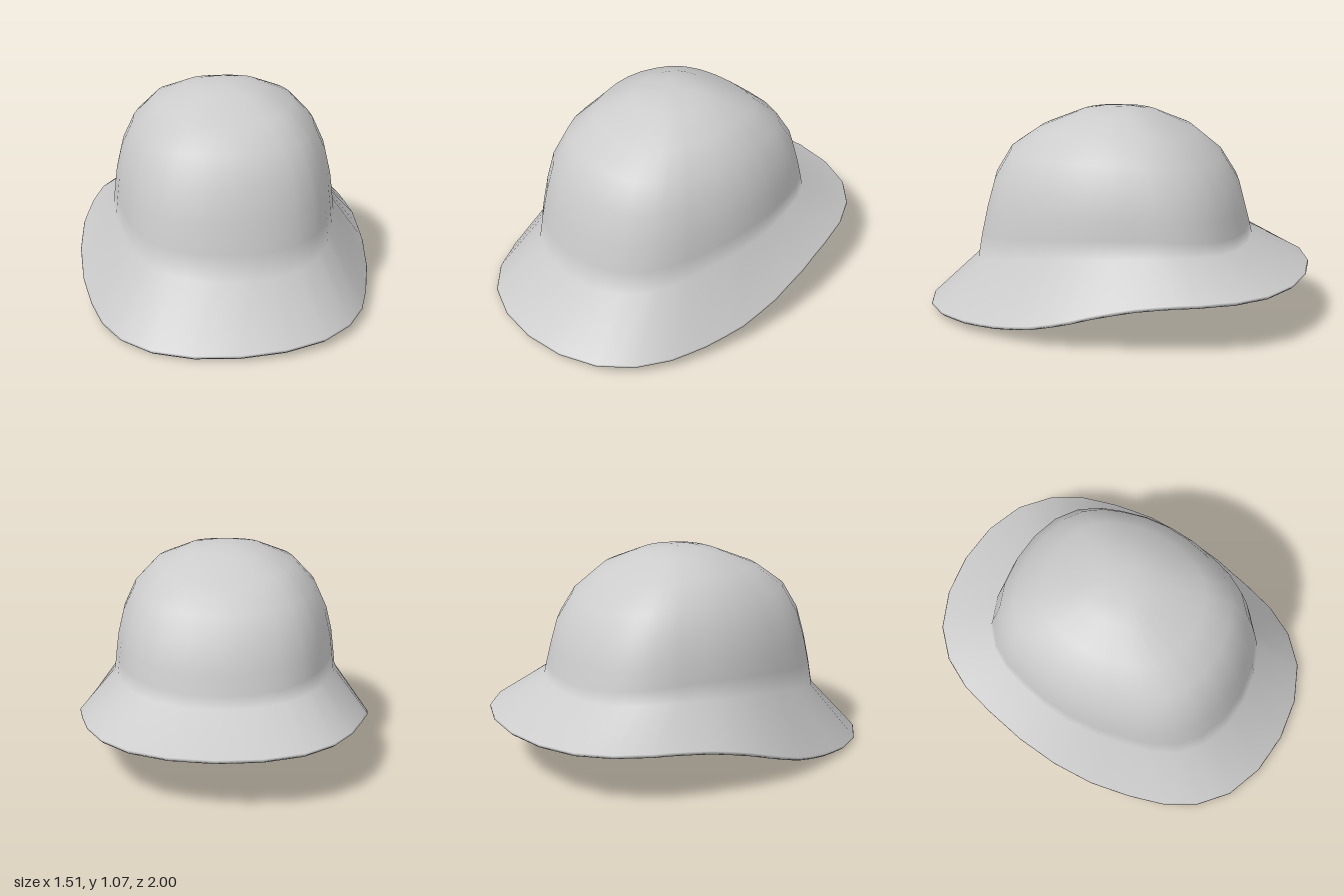
import * as THREE from 'three';

const SEGMENTS = 56;

// Quarter of the rounded oval plan shared by every ring, from front to side
const OVAL = [[0, 1], [0.289, 0.975], [0.546, 0.897], [0.73, 0.77], [0.849, 0.61], [0.92, 0.43], [0.98, 0.215], [1, 0]];

// Corner i of the 28-sided oval, running front, left, back, right
function ovalCorner(i) {
  const half = i % 14;
  const [x, z] = OVAL[half <= 7 ? half : 14 - half];
  const turn = i % 28 < 14 ? 1 : -1;
  return [x * turn, z * turn * (half <= 7 ? 1 : -1)];
}

// Unit oval as corners and edge midpoints
const PLAN = Array.from({ length: SEGMENTS }, (_, i) => {
  const a = ovalCorner(Math.floor(i / 2));
  const b = ovalCorner(Math.ceil(i / 2));
  return [(a[0] + b[0]) / 2, (a[1] + b[1]) / 2];
});

// Crown rings from base to top: side x, side y, front z, front y, back z, back y
const CROWN = [
  [0.575, 0.415, 0.74, 0.275, 0.70, 0.41],
  [0.565, 0.51, 0.715, 0.41, 0.685, 0.47],
  [0.553, 0.61, 0.68, 0.56, 0.66, 0.56],
  [0.525, 0.73, 0.635, 0.72, 0.625, 0.69],
  [0.465, 0.862, 0.55, 0.86, 0.54, 0.825],
  [0.355, 0.98, 0.41, 0.957, 0.40, 0.942],
  [0.195, 1.047, 0.21, 1.04, 0.21, 1.036],
  [0.098, 1.06, 0.105, 1.063, 0.105, 1.063],
];

// The lower rings dip towards the front and rise towards the back
function crownRing([sx, sy, fz, fy, bz, by]) {
  const skew = 0.06 * (1.07 - sy) / 0.65;
  return PLAN.map(([u, w]) => [
    u * sx,
    sy + ((w > 0 ? fy : by) - sy) * w * w - skew * w * (1 - w * w),
    w * (w > 0 ? fz : bz),
  ]);
}

// Inner bowl: an elliptical dome rising from the opening under the brim
const BOWL_TOP = 0.82;
function bowlRing(angle) {
  const r = Math.cos(angle);
  return PLAN.map(([u, w]) => {
    const base = 0.3 + ((w > 0 ? 0.19 : 0.29) - 0.3) * w * w;
    return [
      u * 0.565 * r,
      base + (BOWL_TOP - base) * Math.sin(angle),
      w * (w > 0 ? 0.72 : 0.70) * r,
    ];
  });
}

// Brim edge: low in front, sweeping up to the back, with a slight sideways roll
function rimRing(shrink, drop) {
  return PLAN.map(([u, w]) => {
    const x = u * (0.757 - shrink);
    const z = w * (1 - shrink);
    const sweep = 0.152 - 0.125 * Math.tanh(z / 0.38) + 0.012 * (1 - z * z);
    return [x, sweep + 0.035 * x * Math.max(z, 0) - drop, z];
  });
}

const poleRing = (y) => PLAN.map(() => [0, y, 0]);

// Skin consecutive rings; a pole ring collapses to one shared vertex
function loft(rings) {
  const positions = [];
  const index = [];
  const ids = rings.map((ring, r) => {
    const pole = r === 0 || r === rings.length - 1;
    const start = positions.length / 3;
    (pole ? [ring[0]] : ring).forEach((p) => positions.push(...p));
    return (i) => (pole ? start : start + (i % SEGMENTS));
  });
  for (let r = 0; r < rings.length - 1; r++) {
    for (let i = 0; i < SEGMENTS; i++) {
      const a = ids[r](i), b = ids[r](i + 1), c = ids[r + 1](i + 1), d = ids[r + 1](i);
      if (a !== b) index.push(a, b, c);
      if (c !== d) index.push(a, c, d);
    }
  }
  const geometry = new THREE.BufferGeometry();
  geometry.setAttribute('position', new THREE.Float32BufferAttribute(positions, 3));
  geometry.setIndex(index);
  geometry.computeVertexNormals();
  return geometry;
}

export function createModel() {
  const group = new THREE.Group();
  group.name = 'hat';

  const bowl = [80, 70, 60, 50, 40, 30, 20, 10, 0].map((deg) => bowlRing(THREE.MathUtils.degToRad(deg)));

  // One continuous shell: inner bowl, underside of brim, rim, top of brim, crown
  const shell = new THREE.Mesh(
    loft([
      poleRing(BOWL_TOP),
      ...bowl,
      rimRing(0.012, 0.02),
      rimRing(0, 0.009),
      rimRing(0.004, 0),
      ...CROWN.map(crownRing),
      poleRing(1.07),
    ]),
    new THREE.MeshStandardMaterial({ color: 0xcccccc }),
  );
  shell.name = 'crownAndBrim';
  group.add(shell);
  return group;
}
